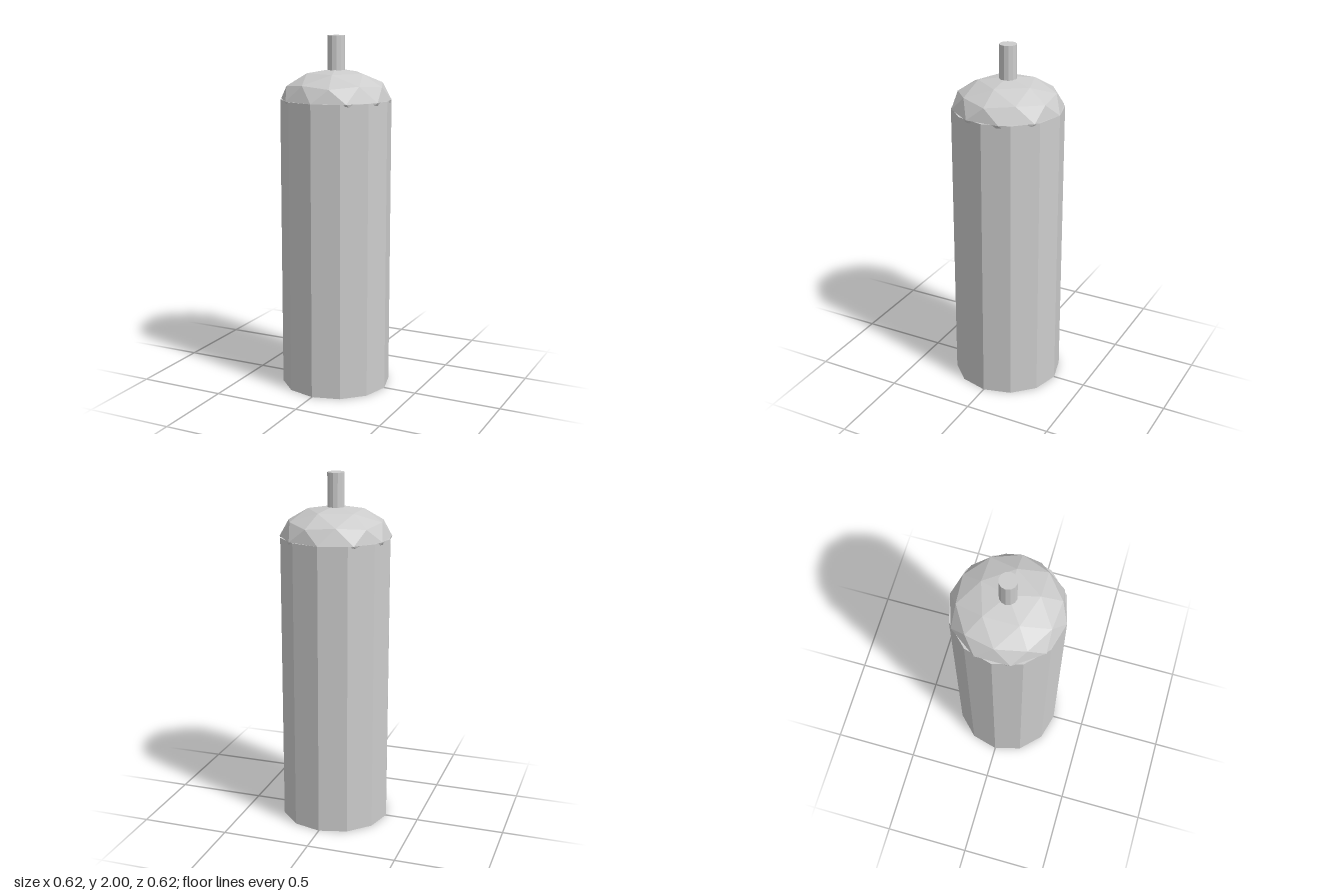
import * as THREE from 'three';

const RADIUS = 0.31;
const SHOULDER_Y = 1.65;

export function createModel() {
  const model = new THREE.Group();
  model.name = 'bottle';
  const grey = new THREE.MeshStandardMaterial({ color: 0xcccccc });
  grey.name = 'light grey';

  const addPart = (name, geometry) => {
    // Separate the faces so each one is shaded flat
    const flat = geometry.index ? geometry.toNonIndexed() : geometry;
    flat.computeVertexNormals();
    const mesh = new THREE.Mesh(flat, grey);
    mesh.name = name;
    model.add(mesh);
  };

  // Upright twelve-sided cylinder between two heights
  const column = (radius, bottom, top) =>
    new THREE.CylinderGeometry(radius, radius, top - bottom, 12)
      .translate(0, (bottom + top) / 2, 0);

  addPart('body', column(RADIUS, 0, SHOULDER_Y));

  // Squashed faceted ball, one vertex turned to the top; lower half sits in the body
  const dome = new THREE.IcosahedronGeometry(RADIUS, 1)
    .rotateX(-Math.atan((1 + Math.sqrt(5)) / 2))
    .rotateY(Math.PI / 2)
    .scale(1, 0.17 / RADIUS, 1)
    .translate(0, SHOULDER_Y, 0);
  addPart('dome', dome);

  addPart('nozzle', column(0.048, 1.7, 2));

  return model;
}
